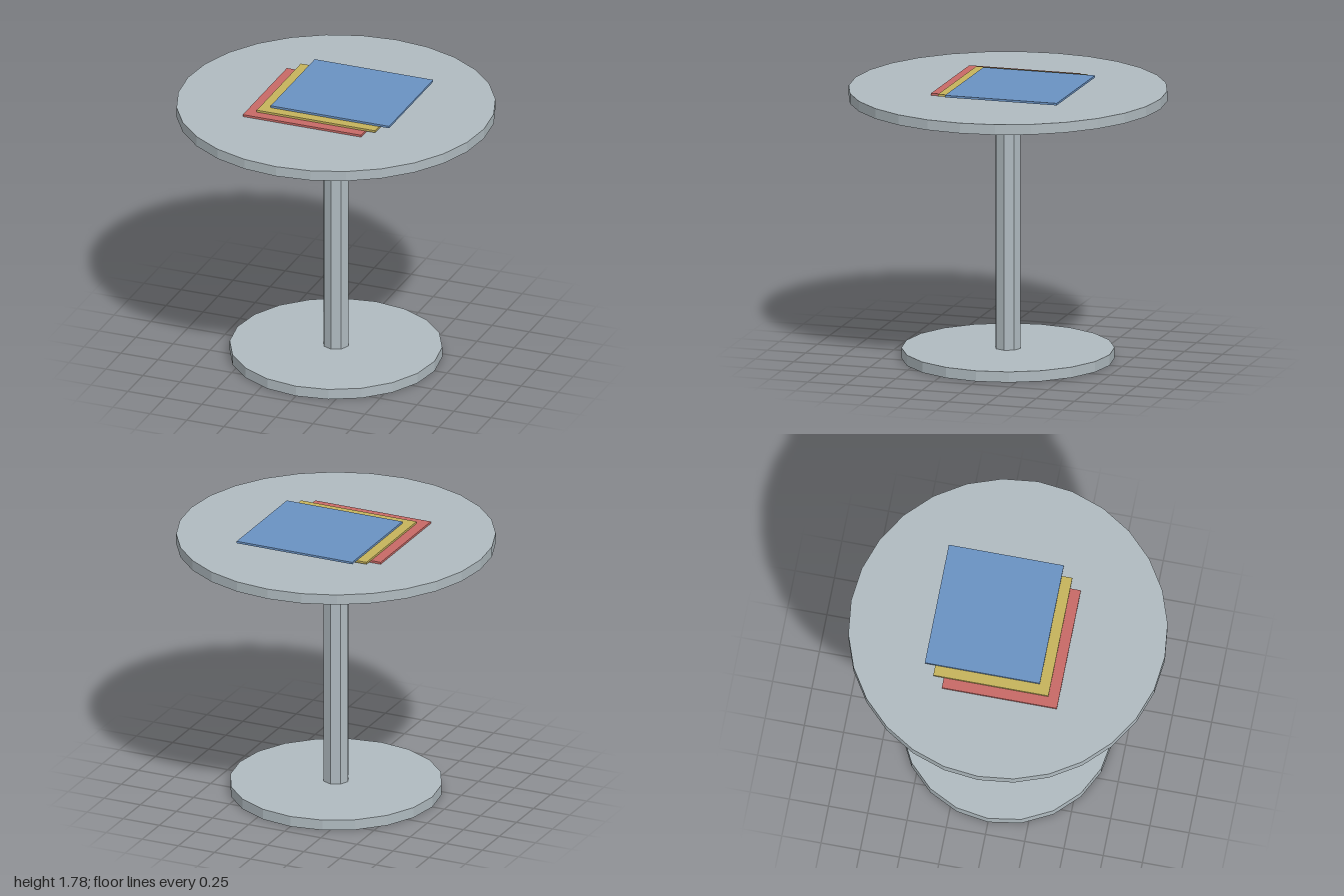
import * as THREE from 'three';

function flatMaterial(name, color) {
  const material = new THREE.MeshStandardMaterial({ color, flatShading: true });
  material.name = name;
  return material;
}

export function createModel() {
  const group = new THREE.Group();
  group.name = 'pedestalTable';

  const grey = flatMaterial('paleGrey', 0xb0bbc0);
  const red = flatMaterial('red', 0xc86a66);
  const yellow = flatMaterial('yellow', 0xc6b35c);
  const blue = flatMaterial('blue', 0x6a92c2);

  function addPart(name, geometry, material, x, y, z) {
    const mesh = new THREE.Mesh(geometry, material);
    mesh.name = name;
    mesh.position.set(x, y, z);
    group.add(mesh);
  }

  // Faceted discs and column, given by radius, bottom, top and side count
  function addRound(name, radius, y0, y1, sides) {
    const geometry = new THREE.CylinderGeometry(radius, radius, y1 - y0, sides);
    addPart(name, geometry, grey, 0, (y0 + y1) / 2, 0);
  }
  addRound('base', 0.667, 0, 0.068, 20);
  addRound('column', 0.083, 0.068, 1.67, 8);
  addRound('tableTop', 1, 1.67, 1.736, 28);

  // Three stacked sheets, each shifted towards the back left corner
  const thickness = 0.0133;
  [['redSheet', red], ['yellowSheet', yellow], ['blueSheet', blue]].forEach(([name, material], i) => {
    const shift = (i - 1) * 0.067;
    const y = 1.736 + thickness * (i + 0.5);
    addPart(name, new THREE.BoxGeometry(0.8, thickness, 0.733), material, shift, y, -0.033 - shift);
  });

  return group;
}
